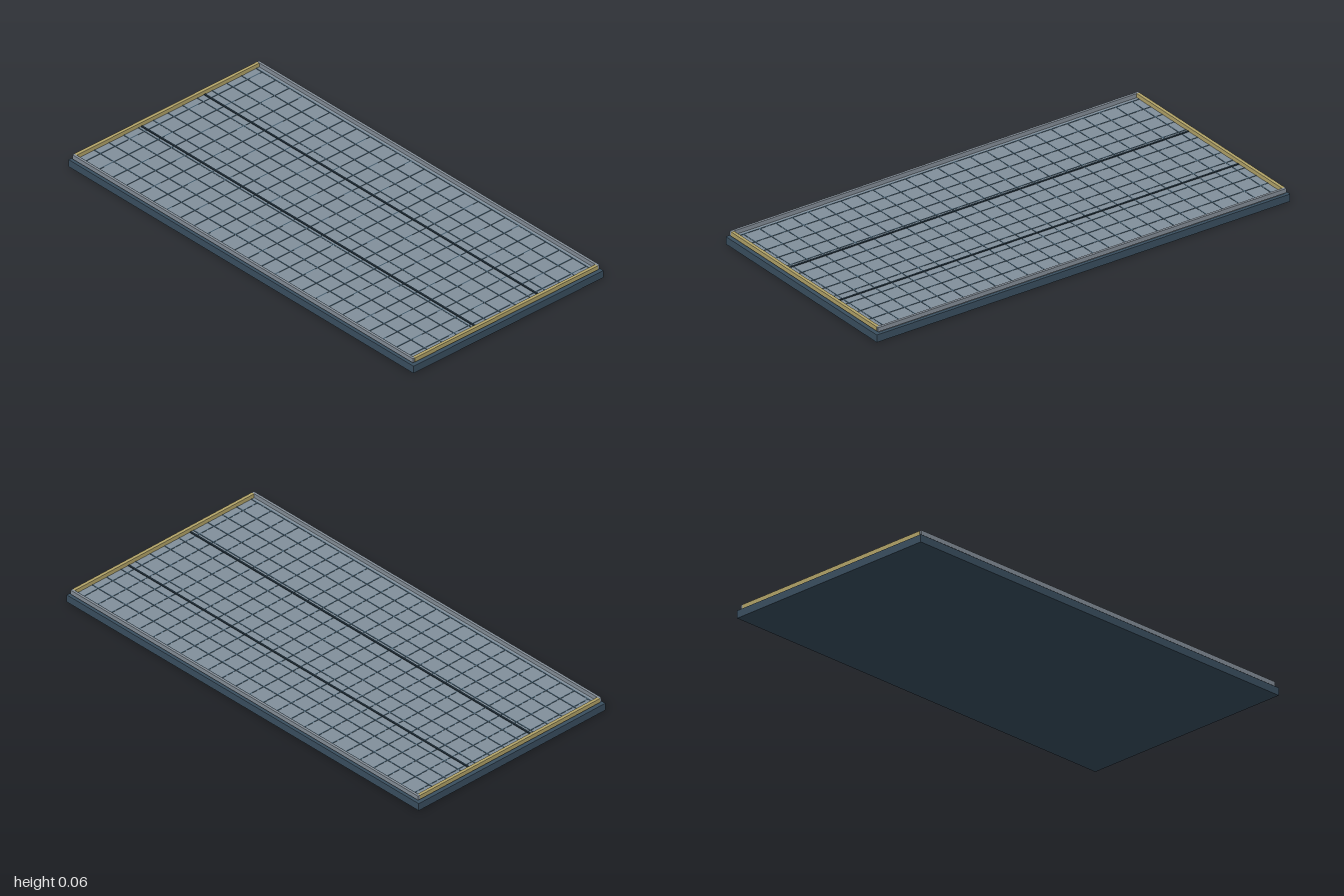
import * as THREE from 'three';

const paint = (name, color) => {
  const m = new THREE.MeshStandardMaterial({ color });
  m.name = name;
  return m;
};

export function createModel() {
  const slate = paint('slate blue', 0x3a4f60);
  const grey = paint('deck grey', 0x82909c);
  const line = paint('grid line blue', 0x425a6a);
  const dark = paint('seam dark', 0x1a2730);
  const gold = paint('dull gold', 0xb3a469);
  const railGrey = paint('rail grey', 0x858f99);

  const model = new THREE.Group();
  model.name = 'floorPanel';

  // Box given by its size, centre in x and z, and underside height
  const box = (name, mat, w, h, d, x, y, z, parent = model) => {
    const mesh = new THREE.Mesh(new THREE.BoxGeometry(w, h, d), mat);
    mesh.name = name;
    mesh.position.set(x, y + h / 2, z);
    parent.add(mesh);
    return mesh;
  };

  // Slab and the deck plate on it
  box('baseSlab', slate, 2, 0.033, 1.01, 0, 0, 0);
  box('deckPlate', grey, 1.96, 0.007, 0.98, 0, 0.033, 0);

  // Thin tile joints
  const grid = new THREE.Group();
  grid.name = 'tileGrid';
  model.add(grid);
  const step = 0.0783, top = 0.04, width = 0.005;
  for (let i = -12; i <= 12; i++) {
    box('crossLine', line, width, 0.001, step * 12, i * step, top, 0, grid);
  }
  for (let i = -6; i <= 6; i++) {
    box('longLine', line, 1.95, 0.0013, width, 0, top, i * step, grid);
  }

  // Two dark seams running the whole length
  for (const z of [-0.195, 0.14]) {
    box('panelSeam', dark, 1.95, 0.002, 0.01, 0, top, z);
  }

  // Raised rim: grey along the long sides, gold at the ends
  for (const s of [-1, 1]) {
    box('sideRail', railGrey, 1.974, 0.019, 0.011, 0, 0.039, s * 0.491);
    box('endRail', gold, 0.014, 0.0188, 0.974, s * 0.981, 0.039, 0);
  }
  return model;
}
